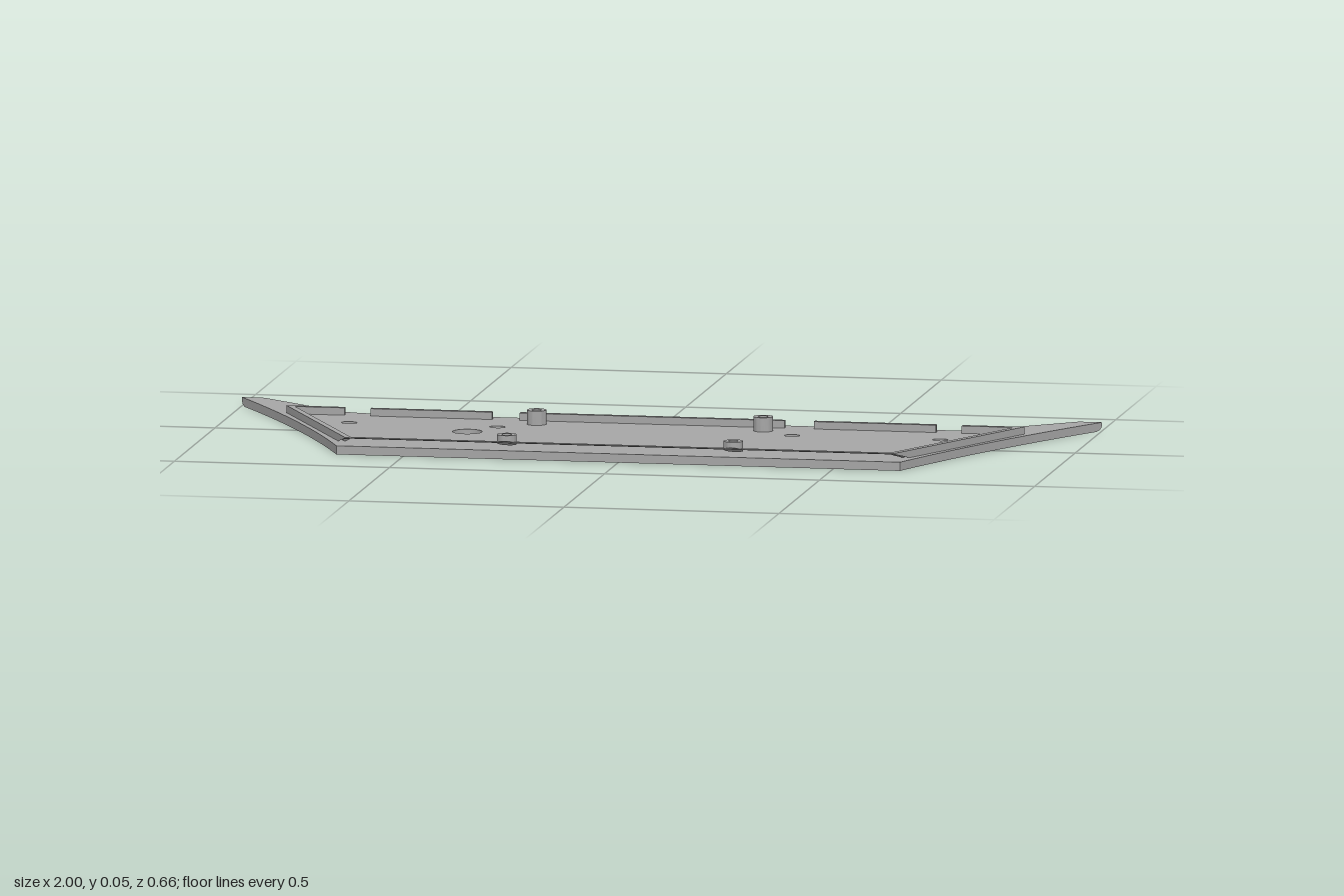
import * as THREE from 'three';
import { toCreasedNormals } from 'three/addons/utils/BufferGeometryUtils.js';

const BASE = 0.02, RIM = 0.037, BOSS = 0.053;

// Underside of the raised parts sweeps up towards the front edge
const undercut = (z) => BASE + 0.02 * Math.pow(Math.max(0, (z - 0.263) / 0.059), 1.15);

// Extrude a plan outline of [x, z] points upward from y0
function slab(points, y0, height, holes = [], steps = 1) {
  const shape = new THREE.Shape(points.map(([x, z]) => new THREE.Vector2(x, -z)));
  for (const [x, z, rx, rz] of holes) {
    shape.holes.push(new THREE.Path().absellipse(x, -z, rx, rz, 0, Math.PI * 2, true));
  }
  const g = new THREE.ExtrudeGeometry(shape, { depth: height, bevelEnabled: false, steps, curveSegments: 16 });
  return g.rotateX(-Math.PI / 2).translate(0, y0, 0);
}

function moveVertices(g, rule) {
  const p = g.attributes.position, v = new THREE.Vector3();
  for (let i = 0; i < p.count; i++) {
    rule(v.fromBufferAttribute(p, i));
    p.setXYZ(i, v.x, v.y, v.z);
  }
  return g;
}

const curve = (a, b, c, n) => new THREE.QuadraticBezierCurve(
  new THREE.Vector2(...a), new THREE.Vector2(...b), new THREE.Vector2(...c)
).getPoints(n).map((p) => [p.x, p.y]);

const mirror = (pts) => pts.map(([x, z]) => [-x, z]).reverse();

export function createModel() {
  const group = new THREE.Group();
  const grey = new THREE.MeshStandardMaterial({ color: 0xa6a6a6 });
  grey.name = 'grey plastic';
  const add = (name, geometry) => {
    const mesh = new THREE.Mesh(toCreasedNormals(geometry, 0.5), grey);
    mesh.name = name;
    group.add(mesh);
  };

  // Base plate with swept horns, rounded along the lower rear edge
  const side = curve([0.655, 0.332], [0.79, 0], [1, -0.332], 14);
  const rear = [[0.947, -0.332], ...curve([0.765, -0.187], [0.72, -0.15], [0.66, -0.15], 8)];
  const half = [...side, ...rear];
  const rounded = [side[side.length - 1], ...rear];
  const holes = [
    [-0.4, 0.07, 0.034, 0.034],
    ...[-0.69, -0.345, 0.34, 0.685].map((x) => [x, -0.01, 0.018, 0.014]),
  ];
  const plate = slab([...half, ...mirror(half)], 0, BASE, holes, 6);
  const r = 0.016;
  moveVertices(plate, (v) => {
    const onRear = rounded.some(([x, z]) => Math.hypot(Math.abs(v.x) - x, v.z - z) < 1e-4);
    if (!onRear || v.y >= r) return;
    const inset = r - Math.sqrt(Math.max(0, r * r - (r - v.y) ** 2));
    if (Math.abs(v.x) > 0.99) v.x -= Math.sign(v.x) * inset * 0.6;
    v.z += inset;
  });
  add('basePlate', plate);

  // Raised rim along both sides and the front, undercut at the front
  const outerX = (z) => 0.858 - 0.498 * (z + 0.127);
  const outer = [0.317, 0.29, 0.263, -0.127].map((z) => [outerX(z), z]);
  const inner = [-0.127, 0.263, 0.29, 0.303].map((z) => [outerX(z) - 0.016, z]);
  const rim = slab([...outer, ...inner, ...mirror(inner), ...mirror(outer)], BASE, RIM - BASE);
  moveVertices(rim, (v) => {
    if (v.y < BASE + 0.001) v.y = Math.min(RIM - 0.001, undercut(v.z));
  });
  add('sideAndFrontRim', rim);

  // Rear rim, broken by four gaps
  for (const [a, b] of [[-0.85, -0.72], [-0.66, -0.377], [-0.313, 0.303], [0.371, 0.655], [0.715, 0.85]]) {
    const wall = new THREE.BoxGeometry(b - a, RIM - BASE, 0.014);
    add('rearRim', wall.translate((a + b) / 2, (RIM + BASE) / 2, -0.12));
  }

  // Four round bosses with blind screw holes
  const profile = [[0, BASE], [0.0225, BASE], [0.0225, BOSS], [0.011, BOSS], [0.011, 0.042], [0, 0.042]]
    .map(([x, y]) => new THREE.Vector2(x, y));
  for (const x of [-0.265, 0.262]) {
    for (const z of [-0.068, 0.3]) {
      const boss = new THREE.LatheGeometry(profile, 32).translate(x, 0, z);
      moveVertices(boss, (v) => {
        if (v.y < BASE + 0.001) v.y = undercut(v.z);
      });
      add('screwBoss', boss);
    }
  }
  return group;
}
